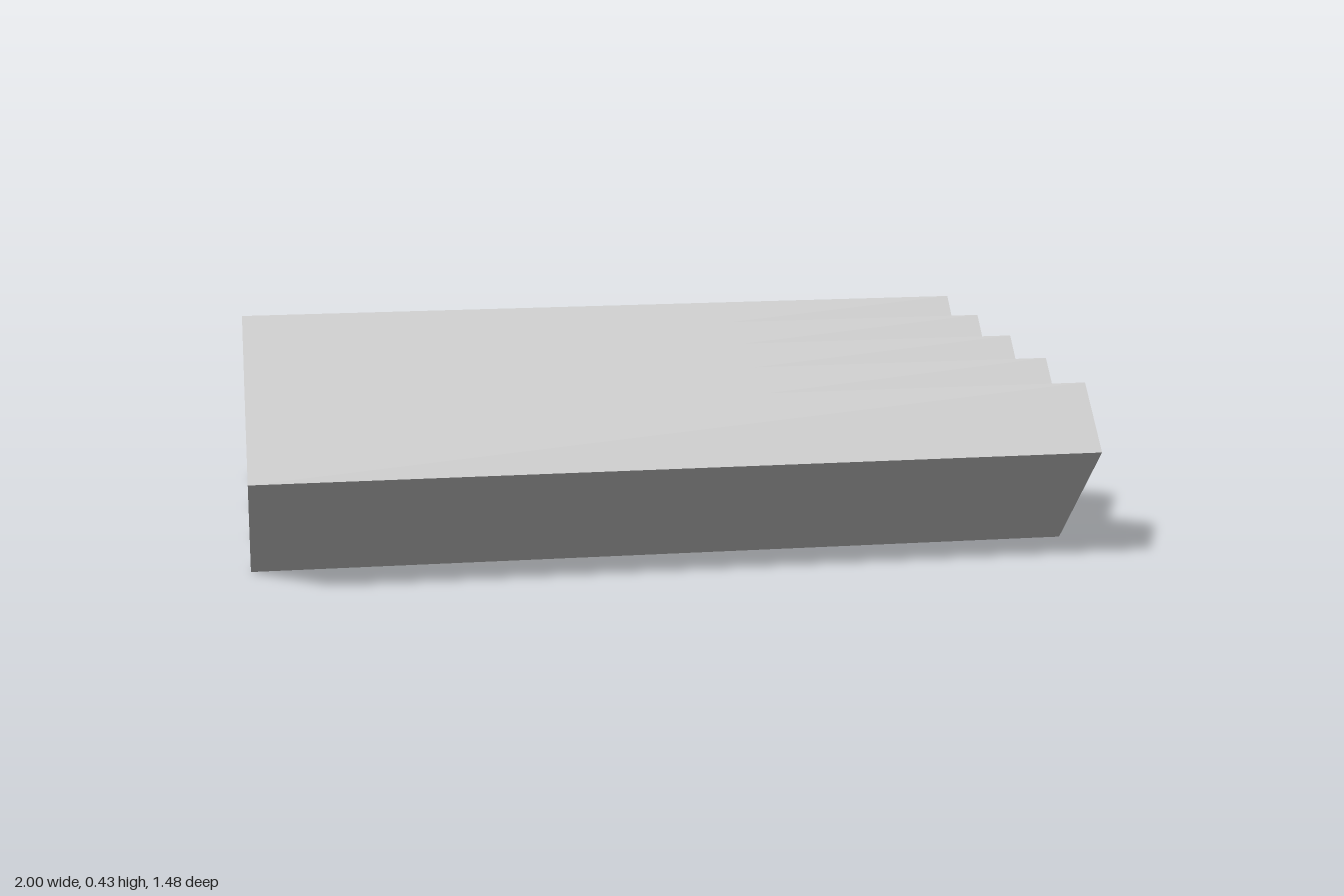
import * as THREE from 'three';

export function createModel() {
  const group = new THREE.Group();
  group.name = 'corrugatedSlab';
  const pitch = 0.3, length = 2;
  const peakY = 0.425, valleyY = 0.275, notchY = 0.145, footHalf = 0.005;

  // Zigzag cross-section, starting along the ridged top
  const points = [[-0.74, 0.285]];
  for (let i = -2; i <= 2; i++) {
    points.push([i * pitch, peakY]);
    if (i < 2) points.push([(i + 0.5) * pitch, valleyY]);
  }
  points.push([0.74, 0.285]);

  // Narrow flat feet with notches between them along the underside
  for (let i = 1; i >= -2; i--) {
    const foot = (i + 0.5) * pitch;
    points.push([foot + footHalf, 0], [foot - footHalf, 0]);
    if (i > -2) points.push([i * pitch, notchY]);
  }

  const shape = new THREE.Shape(points.map(([x, y]) => new THREE.Vector2(x, y)));
  const geometry = new THREE.ExtrudeGeometry(shape, { depth: length, bevelEnabled: false });
  geometry.translate(0, 0, -length / 2);
  geometry.rotateY(Math.PI / 2);

  const slab = new THREE.Mesh(
    geometry,
    new THREE.MeshStandardMaterial({ color: 0xcccccc, flatShading: true })
  );
  slab.name = 'zigzagSlab';
  group.add(slab);
  return group;
}
